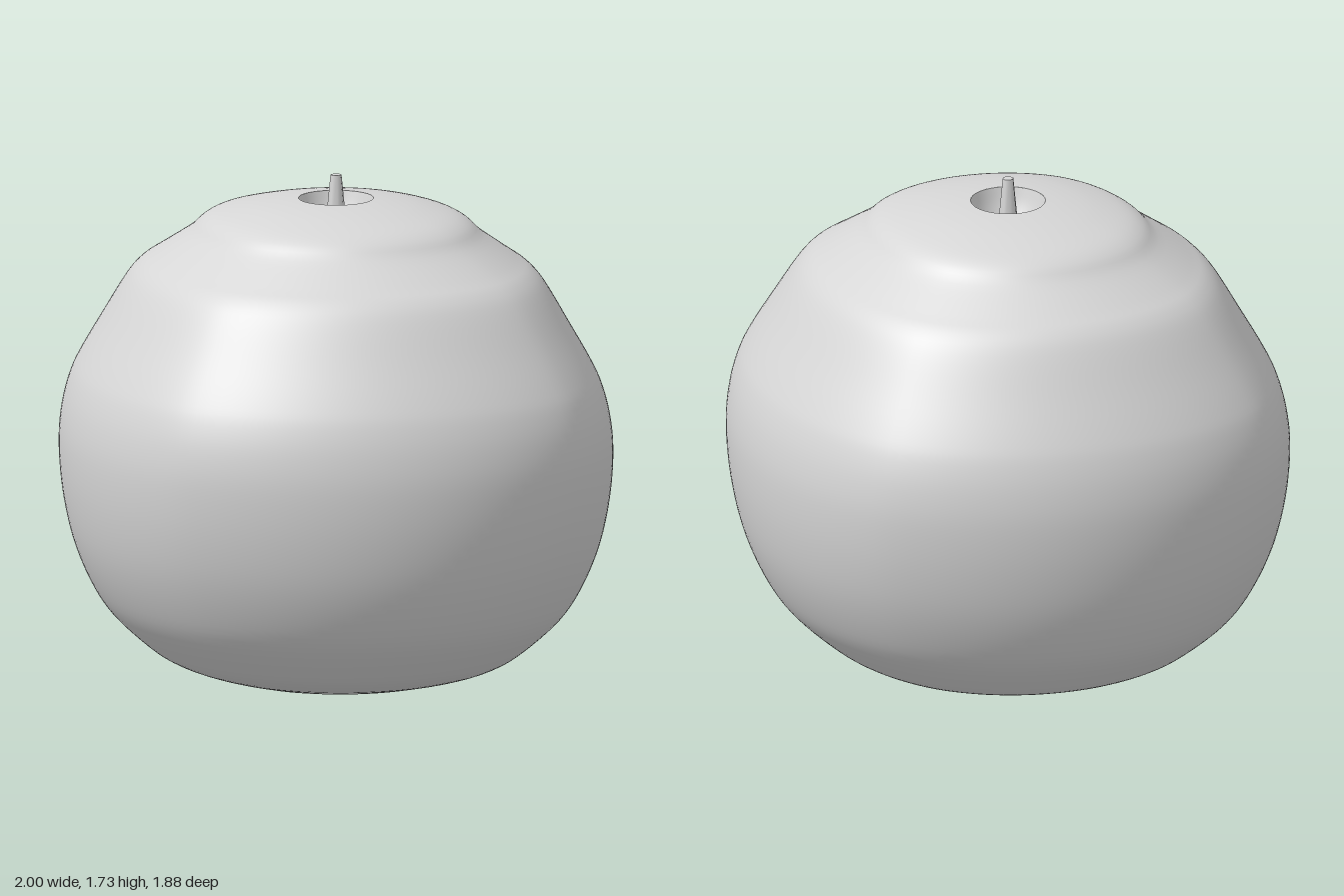
import * as THREE from 'three';
import { mergeVertices } from 'three/addons/utils/BufferGeometryUtils.js';

const grey = new THREE.MeshStandardMaterial({ color: 0xd6d6d6 });
grey.name = 'light grey';

const toPoints = (list) => list.map(([x, y]) => new THREE.Vector2(x, y));

// Squareness of the rings by height: 2 is an ellipse, less is closer to a diamond
const squareness = new THREE.SplineCurve(toPoints([
  [0, 1.89], [0.33, 1.87], [0.66, 1.79], [1, 1.73], [1.32, 1.75], [1.65, 1.86],
]));

// Lathe whose rings become soft diamonds, fading to circles near the top hole
function softDiamond(points) {
  const geo = new THREE.LatheGeometry(points, 144);
  const pos = geo.attributes.position;
  for (let i = 0; i < pos.count; i++) {
    const x = pos.getX(i), y = pos.getY(i), z = pos.getZ(i);
    const amount = y < 1 ? 1 : THREE.MathUtils.smoothstep(Math.hypot(x, z), 0.127, 0.42);
    const power = THREE.MathUtils.lerp(2, squareness.getPoint(y / 1.65).y, amount);
    const angle = Math.atan2(z, x);
    const c = Math.cos(angle) ** 2 + 0.0004, s = Math.sin(angle) ** 2 + 0.0004;
    const k = (c ** (power / 2) + s ** (power / 2)) ** (-1 / power);
    pos.setXYZ(i, x * k, y, z * k * (1 - 0.058 * amount));
  }
  geo.deleteAttribute('uv');
  geo.deleteAttribute('normal');
  const merged = mergeVertices(geo, 1e-5);
  merged.computeVertexNormals();
  return merged;
}

export function createModel() {
  const group = new THREE.Group();
  const add = (name, geometry) => {
    const mesh = new THREE.Mesh(geometry, grey);
    mesh.name = name;
    group.add(mesh);
    return mesh;
  };

  // Rounded body with a stepped shoulder
  const profile = new THREE.SplineCurve(toPoints([
    [0.37, 0], [0.5, 0.032], [0.6, 0.068], [0.68, 0.118], [0.8, 0.225], [0.875, 0.335],
    [0.94, 0.48], [0.982, 0.64], [1, 0.8], [0.992, 0.92], [0.965, 1.02], [0.925, 1.1],
    [0.85, 1.22], [0.765, 1.35], [0.71, 1.41], [0.645, 1.452], [0.53, 1.525],
    [0.475, 1.572], [0.41, 1.602], [0.3, 1.628], [0.2, 1.643], [0.127, 1.65],
  ]));
  add('body', softDiamond(profile.getPoints(84)));

  // Flat underside
  add('base', softDiamond(toPoints([[0, 0], [0.37, 0]])));

  // Round funnel-shaped hollow in the top
  const bowl = new THREE.SplineCurve(toPoints([
    [0.127, 1.65], [0.11, 1.595], [0.082, 1.54], [0.045, 1.497], [0, 1.485],
  ]));
  add('hollow', new THREE.LatheGeometry(bowl.getPoints(20), 48));

  // Short tapered stem
  const stem = add('stem', new THREE.CylinderGeometry(0.019, 0.043, 0.24, 8));
  stem.position.y = 1.61;

  return group;
}
